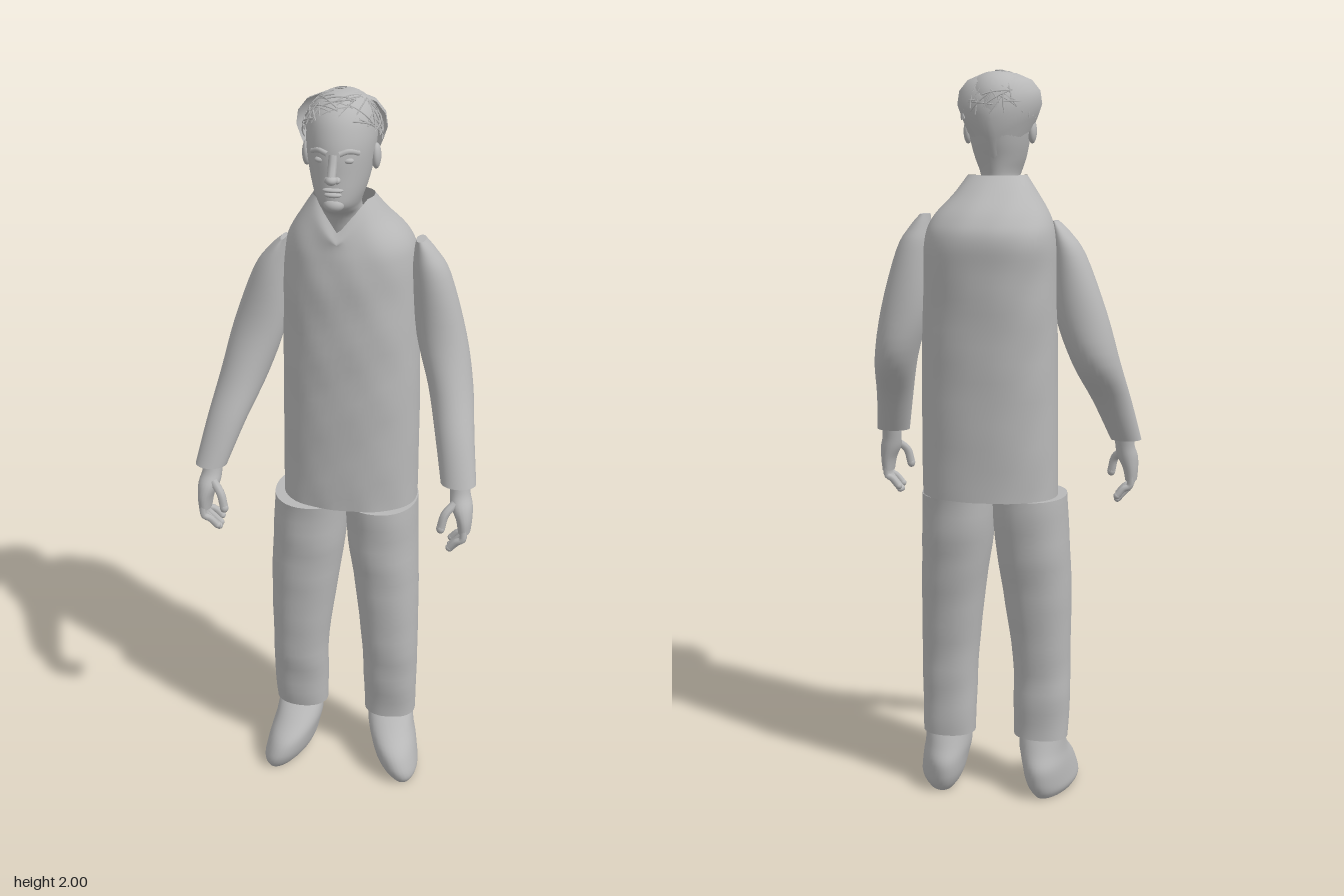
import * as THREE from 'three';
import { mergeGeometries } from 'three/addons/utils/BufferGeometryUtils.js';

const grey = new THREE.MeshStandardMaterial({ color: 0xb8b8b8, side: THREE.DoubleSide });
grey.name = 'plain grey';

// Smooth interpolation through the rows of a cross-section table
function sampleRows(rows, steps) {
  const out = [];
  const at = i => rows[Math.max(0, Math.min(rows.length - 1, i))];
  for (let i = 0; i < rows.length - 1; i++) {
    for (let s = 0; s < steps; s++) {
      const t = s / steps;
      out.push(rows[i].map((b, k) => {
        const a = at(i - 1)[k], c = at(i + 1)[k], d = at(i + 2)[k];
        return b + 0.5 * t * (c - a + t * (2 * a - 5 * b + 4 * c - d + t * (3 * (b - c) + d - a)));
      }));
    }
  }
  out.push(rows[rows.length - 1]);
  return out;
}

// Body from horizontal sections, bottom to top: [y, xMin, xMax, zMin, zMax]
function loft(rows, { power = 1, capTop = true, deform = null, sides = 36, steps = 4 } = {}) {
  const rings = sampleRows(rows, steps), pos = [], index = [];
  const v = new THREE.Vector3();
  const bend = c => Math.sign(c) * Math.abs(c) ** power;
  rings.forEach(([y, x0, x1, z0, z1]) => {
    for (let j = 0; j < sides; j++) {
      const a = j / sides * Math.PI * 2;
      v.set((x0 + x1) / 2 + (x1 - x0) / 2 * bend(Math.cos(a)), y,
        (z0 + z1) / 2 + (z1 - z0) / 2 * bend(Math.sin(a)));
      if (deform) deform(v);
      pos.push(v.x, v.y, v.z);
    }
  });
  for (let i = 0; i < rings.length - 1; i++) {
    for (let j = 0; j < sides; j++) {
      const a = i * sides + j, b = i * sides + (j + 1) % sides;
      index.push(a, a + sides, b, b, a + sides, b + sides);
    }
  }
  // Caps use their own corners so that the rim stays sharp
  const cap = (ring, up) => {
    const start = pos.length / 3, first = ring * sides * 3;
    pos.push(...pos.slice(first, first + sides * 3));
    const [y, x0, x1, z0, z1] = rings[ring];
    pos.push((x0 + x1) / 2, y, (z0 + z1) / 2);
    for (let j = 0; j < sides; j++) {
      const a = start + j, b = start + (j + 1) % sides;
      index.push(start + sides, up ? b : a, up ? a : b);
    }
  };
  cap(0, false);
  if (capTop) cap(rings.length - 1, true);
  const g = new THREE.BufferGeometry();
  g.setAttribute('position', new THREE.Float32BufferAttribute(pos, 3));
  g.setIndex(index);
  g.computeVertexNormals();
  return g;
}

const tube = (pts, r, segs = 10, sides = 8) => new THREE.TubeGeometry(
  new THREE.CatmullRomCurve3(pts.map(p => new THREE.Vector3(...p))), segs, r, sides);
const blob = (x, y, z, rx, ry, rz) =>
  new THREE.SphereGeometry(1, 20, 14).scale(rx, ry, rz).translate(x, y, z);

export function createModel() {
  const model = new THREE.Group();
  const add = (name, geometry, parent = model) => {
    const m = new THREE.Mesh(geometry, grey);
    m.name = name;
    parent.add(m);
    return m;
  };

  // Loose shirt with slight cloth ripples and a V-shaped neckline
  add('shirt', loft([
    [0.875, -0.17, 0.2, -0.155, 0.105], [1.2, -0.167, 0.198, -0.172, 0.11],
    [1.45, -0.165, 0.188, -0.192, 0.112], [1.56, -0.163, 0.182, -0.203, 0.108],
    [1.62, -0.148, 0.162, -0.178, 0.1], [1.68, -0.112, 0.11, -0.125, 0.08],
    [1.728, -0.08, 0.076, -0.078, 0.055],
  ], {
    power: 0.88, capTop: false, sides: 64, steps: 6,
    deform: v => {
      v.z += 0.0025 * Math.sin(v.y * 33 + v.x * 24) * Math.sin(v.x * 37);
      const dip = Math.max(0, 1 - Math.abs(v.x) / 0.065) * THREE.MathUtils.smoothstep(v.y, 1.6, 1.728);
      if (v.z > 0.02) { v.y -= 0.075 * dip; v.z += 0.035 * dip; }
    },
  }));

  // Trouser legs
  const ripple = v => { v.z += 0.002 * Math.sin(v.y * 45 + v.x * 12); };
  add('rightTrouserLeg', loft([
    [0.17, -0.2, -0.048, -0.055, 0.062], [0.28, -0.205, -0.046, -0.06, 0.076],
    [0.4, -0.204, -0.043, -0.066, 0.09], [0.6, -0.206, -0.016, -0.094, 0.1],
    [0.75, -0.2, 0.004, -0.12, 0.107], [0.875, -0.193, 0.01, -0.132, 0.11],
  ], { power: 0.92, deform: ripple }));
  add('leftTrouserLeg', loft([
    [0.165, 0.066, 0.214, -0.055, 0.062], [0.28, 0.062, 0.216, -0.06, 0.076],
    [0.4, 0.057, 0.217, -0.066, 0.09], [0.6, 0.035, 0.214, -0.094, 0.1],
    [0.75, 0.012, 0.208, -0.12, 0.107], [0.875, 0.004, 0.204, -0.132, 0.11],
  ], { power: 0.92, deform: ripple }));

  // Shoes turn outward towards the toes
  const shoe = [
    [0, 0.105, 0.195, -0.06, 0.15], [0.02, 0.09, 0.207, -0.075, 0.163],
    [0.05, 0.078, 0.207, -0.085, 0.166], [0.09, 0.07, 0.203, -0.086, 0.15],
    [0.13, 0.062, 0.196, -0.066, 0.105], [0.175, 0.062, 0.192, -0.045, 0.052],
  ];
  for (const [name, side, shift] of [['rightShoe', -1, 0], ['leftShoe', 1, 0.016]]) {
    add(name, loft(shoe.map(([y, ...r]) => {
      const x = side < 0 ? [-r[1], -r[0]] : [r[0] + shift, r[1] + shift];
      return [y, ...x, r[2], r[3]];
    }), {
      deform: v => { v.x += side * 0.22 * v.z * (1 - v.y / 0.175); },
    }));
  }

  // Bent sleeves
  add('rightSleeve', loft([
    [1.005, -0.38, -0.295, 0.095, 0.172], [1.12, -0.356, -0.25, 0.03, 0.135],
    [1.235, -0.33, -0.2, -0.055, 0.09], [1.37, -0.295, -0.157, -0.068, 0.056],
    [1.52, -0.238, -0.15, -0.06, 0.052], [1.58, -0.195, -0.148, -0.045, 0.045],
    [1.61, -0.162, -0.148, -0.025, 0.035],
  ]));
  add('leftSleeve', loft([
    [1.01, 0.282, 0.375, 0.095, 0.172], [1.12, 0.258, 0.36, 0.03, 0.135],
    [1.235, 0.228, 0.345, -0.055, 0.09], [1.37, 0.19, 0.32, -0.068, 0.056],
    [1.53, 0.178, 0.275, -0.06, 0.052], [1.59, 0.18, 0.24, -0.042, 0.043],
    [1.625, 0.185, 0.21, -0.027, 0.035],
  ]));

  // Hands with curled fingers and a thumb
  for (const [name, s] of [['rightHand', -1], ['leftHand', 1]]) {
    const hand = new THREE.Group();
    hand.name = name;
    model.add(hand);
    add('palm', loft([
      [0.885, 0.335, 0.368, 0.125, 0.192], [0.92, 0.328, 0.371, 0.118, 0.194],
      [0.955, 0.312, 0.37, 0.112, 0.186], [0.985, 0.308, 0.362, 0.108, 0.166],
      [1.02, 0.305, 0.36, 0.1, 0.156],
    ].map(([y, a, b, c, d]) => (s < 0 ? [y, -b, -a, c, d] : [y, a, b, c, d])), { sides: 20 }), hand);
    for (let i = 0; i < 4; i++) {
      const z = 0.132 + i * 0.017, low = 0.828 + [0.014, 0.002, 0, 0.012][i];
      add('finger', tube([[s * 0.352, 0.9, z], [s * 0.35, 0.87, z + 0.003],
        [s * 0.333, low + 0.02, z], [s * 0.315, low, z - 0.003]], 0.0095), hand);
      add('fingertip', blob(s * 0.315, low, z - 0.003, 0.0095, 0.0095, 0.0095), hand);
    }
    add('thumb', tube([[s * 0.325, 0.965, 0.165], [s * 0.302, 0.94, 0.182],
      [s * 0.292, 0.9, 0.188]], 0.0115), hand);
    add('thumbTip', blob(s * 0.292, 0.9, 0.188, 0.0115, 0.014, 0.0115), hand);
  }

  // Head and neck
  const head = new THREE.Group();
  head.name = 'head';
  model.add(head);
  add('skullAndNeck', loft([
    [1.6, -0.06, 0.06, -0.06, 0.06], [1.69, -0.052, 0.052, -0.045, 0.082],
    [1.72, -0.05, 0.05, -0.045, 0.125], [1.74, -0.055, 0.055, -0.048, 0.148],
    [1.77, -0.066, 0.066, -0.056, 0.15], [1.81, -0.076, 0.076, -0.07, 0.148],
    [1.86, -0.084, 0.084, -0.082, 0.146], [1.9, -0.086, 0.086, -0.086, 0.138],
    [1.94, -0.081, 0.081, -0.08, 0.121], [1.97, -0.063, 0.063, -0.06, 0.093],
    [1.988, -0.035, 0.035, -0.03, 0.055], [1.992, -0.008, 0.008, 0, 0.02],
  ], { sides: 40 }), head);
  add('noseBridge', tube([[0, 1.865, 0.142], [0, 1.84, 0.153], [0, 1.815, 0.168]], 0.011), head);
  add('noseTip', blob(0, 1.812, 0.166, 0.015, 0.012, 0.018), head);
  add('upperLip', blob(0, 1.782, 0.146, 0.026, 0.006, 0.012), head);
  add('lowerLip', blob(0, 1.77, 0.145, 0.022, 0.007, 0.012), head);
  add('chin', blob(0, 1.743, 0.135, 0.026, 0.019, 0.022), head);
  for (const s of [-1, 1]) {
    add('nostril', blob(s * 0.012, 1.808, 0.153, 0.008, 0.008, 0.012), head);
    add('eye', blob(s * 0.033, 1.851, 0.129, 0.015, 0.008, 0.012), head);
    add('brow', tube([[s * 0.014, 1.868, 0.142], [s * 0.035, 1.874, 0.132],
      [s * 0.056, 1.866, 0.112]], 0.007), head);
    add('ear', blob(s * 0.086, 1.84, 0.035, 0.012, 0.032, 0.02), head);
  }

  // Hair shell round the back of the head, straight-edged in front and cut higher at the sides
  const shell = new THREE.LatheGeometry([[0.085, 1.77], [0.1, 1.82], [0.112, 1.87], [0.107, 1.92],
    [0.085, 1.96], [0.045, 1.985], [0, 1.992]].map(p => new THREE.Vector2(...p)),
  32, Math.PI / 2, Math.PI);
  const sp = shell.attributes.position;
  for (let i = 0; i < sp.count; i++) {
    const x = sp.getX(i), z = sp.getZ(i), r = Math.hypot(x, z) || 1;
    sp.setY(i, 1.992 - (1.992 - sp.getY(i)) * (1 - 0.32 * Math.abs(x) / r));
    sp.setZ(i, z * 1.1 + 0.035);
  }
  shell.computeVertexNormals();
  add('hairShell', shell, head);

  // Fine strands criss-crossing the crown
  let seed = 7;
  const rand = () => (seed = seed * 16807 % 2147483647) / 2147483647;
  const strands = [];
  while (strands.length < 130) {
    const a = rand() * Math.PI * 2, h = 0.15 + rand() * 0.8, c = Math.sqrt(1 - h * h);
    const dir = new THREE.Vector3(c * Math.cos(a), h, c * Math.sin(a));
    const axis = new THREE.Vector3(rand() - 0.5, rand() - 0.5, rand() - 0.5).cross(dir).normalize();
    const lift = 1 + rand() * 0.04, pts = [];
    for (let k = -3; k <= 3; k++) {
      const p = dir.clone().applyAxisAngle(axis, k * 0.13);
      const y = 1.885 + p.y * 0.107 * lift, z = 0.021 + p.z * 0.112 * lift;
      if (y > 1.86 + Math.max(0, z) * 0.7) pts.push([p.x * 0.096 * lift, Math.min(y, 1.998), z]);
    }
    if (pts.length > 3) strands.push(tube(pts, 0.002, 8, 4));
  }
  add('hairStrands', mergeGeometries(strands), head);

  return model;
}
